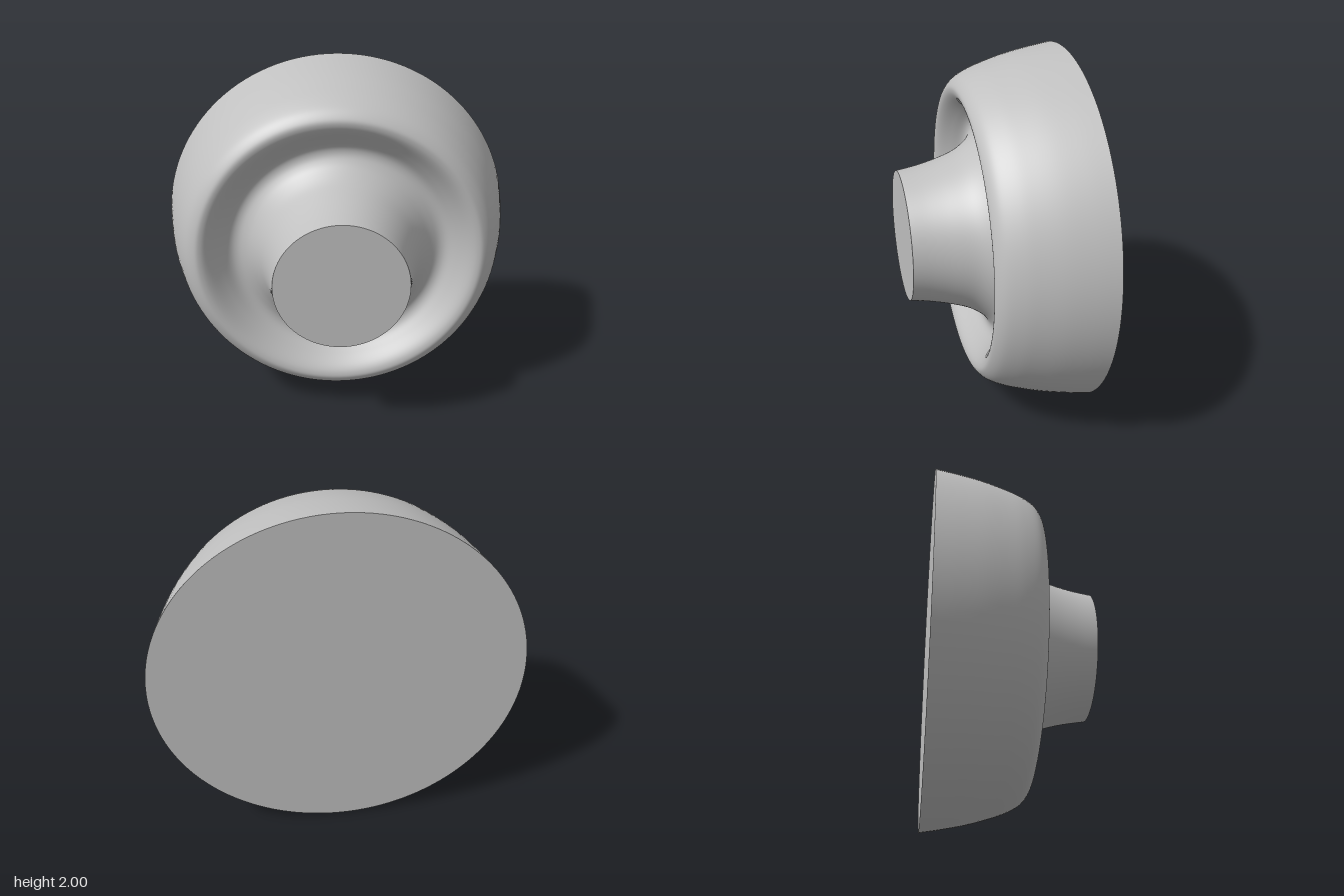
import * as THREE from 'three';

export function createModel() {
  const model = new THREE.Group();
  model.name = 'grooved knob';
  const grey = new THREE.MeshStandardMaterial({ color: 0xc0c0c0 });
  grey.name = 'plain grey';
  const SIDES = 128;

  // Profile as [radius, z]: back edge, rounded rim, groove, flared neck
  const profile = new THREE.SplineCurve([
    [1, -0.45], [0.98, -0.33], [0.953, -0.2], [0.92, -0.085], [0.89, 0],
    [0.85, 0.075], [0.805, 0.115], [0.77, 0.12], [0.73, 0.1], [0.67, 0.045],
    [0.62, 0.003], [0.58, -0.008], [0.54, 0.005], [0.495, 0.043], [0.445, 0.12],
    [0.407, 0.23], [0.38, 0.34], [0.362, 0.45],
  ].map(([r, z]) => new THREE.Vector2(r, z)));

  const body = new THREE.Mesh(new THREE.LatheGeometry(profile.getPoints(102), SIDES), grey);
  body.name = 'turnedBody';
  body.geometry.rotateX(Math.PI / 2);
  model.add(body);

  // Flat end faces
  const addDisc = (name, radius, z, turn) => {
    const disc = new THREE.Mesh(new THREE.CircleGeometry(radius, SIDES), grey);
    disc.name = name;
    disc.position.z = z;
    disc.rotation.y = turn;
    model.add(disc);
  };
  addDisc('neckCap', 0.362, 0.45, 0);
  addDisc('backFace', 1, -0.45, Math.PI);

  model.children.forEach((part) => { part.position.y = 1; });
  return model;
}
